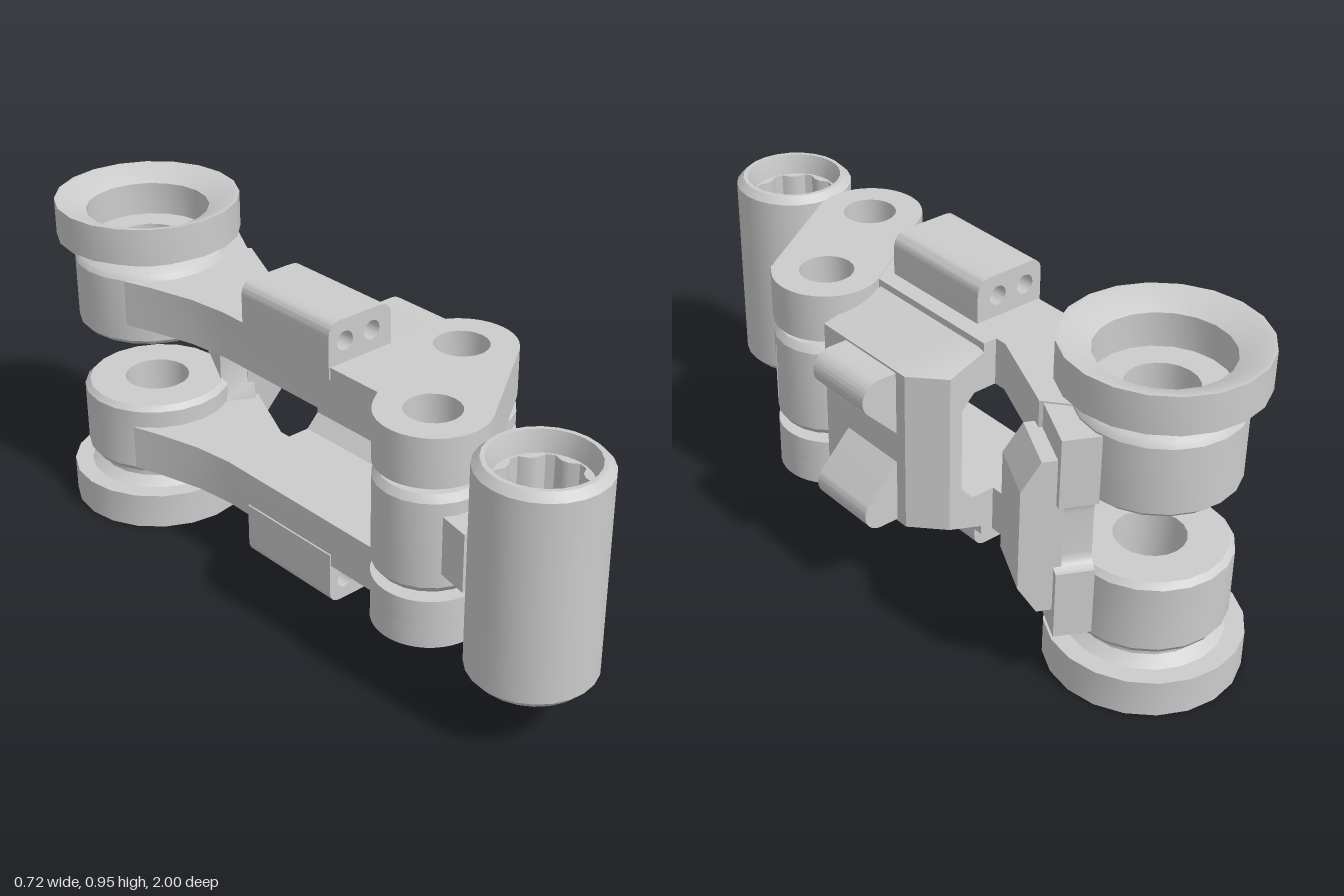
import * as THREE from 'three';
import { toCreasedNormals } from 'three/addons/utils/BufferGeometryUtils.js';

const HEIGHT = 0.95;
const HINGES = [[-0.16, 0.485], [0.14, 0.285]];
const material = new THREE.MeshStandardMaterial({ color: 0xcccccc });

function add(parent, name, geometry, x = 0, z = 0) {
  const mesh = new THREE.Mesh(toCreasedNormals(geometry, 0.5), material);
  mesh.name = name;
  mesh.position.set(x, 0, z);
  parent.add(mesh);
  return mesh;
}

const polygon = (points) => new THREE.Shape(points.map((p) => new THREE.Vector2(...p)));

function circleHole(shape, x, y, r) {
  const hole = new THREE.Path();
  hole.absarc(x, y, r, 0, Math.PI * 2, true);
  shape.holes.push(hole);
}

// Extrudes along z from z0 to z1
function extrude(shape, z0, z1, steps = 1) {
  return new THREE.ExtrudeGeometry(shape, {
    depth: z1 - z0, bevelEnabled: false, curveSegments: 10, steps,
  }).translate(0, 0, z0);
}

// Plan outline in (x, z), filled between heights y0 and y1
const slab = (shape, y0, y1) => extrude(shape, -y1, -y0).rotateX(Math.PI / 2);

// Revolves a profile of [radius, height], counter-clockwise
function turned(profile, closed = true, segments = 20) {
  const pts = closed ? [...profile, profile[0]] : profile;
  return new THREE.LatheGeometry(pts.map((p) => new THREE.Vector2(...p)), segments);
}

// Rounded link outline around the two hinge axes
function linkShape(holeRadius) {
  const shape = new THREE.Shape();
  const [[ax, az], [bx, bz]] = HINGES;
  const a = Math.atan2(bz - az, bx - ax);
  shape.absarc(bx, bz, 0.15, a - Math.PI / 2, a + Math.PI / 2, false);
  shape.absarc(ax, az, 0.15, a + Math.PI / 2, a + Math.PI * 1.5, false);
  shape.closePath();
  for (const [x, z] of HINGES) circleHole(shape, x, z, holeRadius);
  return shape;
}

// Parts that repeat at top and bottom
function createHalf() {
  const half = new THREE.Group();

  // Rear knuckle: barrel, groove and dished flange
  add(half, 'rearKnuckle', turned([
    [0.095, 0.575], [0.2, 0.575], [0.215, 0.59], [0.215, 0.775], [0.205, 0.79],
    [0.178, 0.805], [0.178, 0.822], [0.21, 0.845], [0.262, 0.845], [0.262, 0.95],
    [0.25, 0.95], [0.175, 0.915], [0.175, 0.82], [0.095, 0.82],
  ]), -0.1, -0.74);

  // Beam from the knuckle to the link plate
  add(half, 'beam', slab(polygon([
    [-0.28, -0.62], [-0.25, -0.53], [-0.215, -0.4], [-0.2, -0.28], [-0.2, 0.35],
    [0.06, 0.18], [0.06, -0.275], [0.02, -0.275], [0.02, -0.31], [0.13, -0.56], [0.08, -0.62],
  ]), 0.64, 0.775));

  // Mounting block with two screw holes
  const block = new THREE.Shape();
  block.moveTo(-0.205, 0.74);
  block.lineTo(0.01, 0.74);
  block.lineTo(0.01, 0.85);
  block.quadraticCurveTo(0.01, 0.897, -0.037, 0.897);
  block.lineTo(-0.165, 0.897);
  block.quadraticCurveTo(-0.205, 0.897, -0.205, 0.857);
  block.closePath();
  for (const x of [-0.15, -0.058]) circleHole(block, x, 0.835, 0.027);
  add(half, 'mountingBlock', extrude(block, -0.19, 0.155));

  // Side lug with rounded tip
  const lug = new THREE.Shape();
  lug.moveTo(0.2, 0.52);
  lug.lineTo(0.25, 0.52);
  lug.lineTo(0.342, 0.615);
  lug.absarc(0.305, 0.652, 0.052, -Math.PI / 4, Math.PI / 2, false);
  lug.lineTo(0.2, 0.704);
  lug.closePath();
  add(half, 'sideLug', extrude(lug, -0.155, 0.055));

  // Spacers between the hinge barrels and the link plate
  for (const [x, z] of HINGES) {
    add(half, 'hingeSpacer', turned([[0.075, 0.6], [0.1, 0.6], [0.1, 0.65], [0.075, 0.65]]), x, z);
  }
  return half;
}

export function createModel() {
  const model = new THREE.Group();
  model.name = 'hingedBracket';

  const upper = createHalf();
  upper.name = 'upperHalf';
  const lower = createHalf();
  lower.name = 'lowerHalf';
  lower.scale.y = -1;
  lower.position.y = HEIGHT;
  model.add(upper, lower);

  // Link plates; the lower one is countersunk from below
  add(model, 'upperLinkPlate', slab(linkShape(0.075), 0.64, 0.778));
  add(model, 'lowerLinkPlate', slab(linkShape(0.075), 0.24, 0.314));
  add(model, 'lowerLinkRim', slab(linkShape(0.138), 0.175, 0.24));
  for (const [x, z] of HINGES) {
    add(model, 'countersink', turned([[0.075, 0.24], [0.138, 0.175]], false), x, z);
    // Hinge barrel
    add(model, 'hingeBarrel', turned([
      [0.075, 0.335], [0.135, 0.335], [0.15, 0.355], [0.15, 0.597], [0.135, 0.617], [0.075, 0.617],
    ]), x, z);
  }

  // C-shaped body wall, with its rear outer corner cut back
  const body = extrude(polygon([
    [0, 0.18], [0.25, 0.24], [0.25, 0.71], [0, 0.77],
    [0, 0.64], [0.09, 0.64], [0.13, 0.6], [0.13, 0.35], [0.09, 0.31], [0, 0.31],
  ]), -0.275, 0.15, 5);
  const p = body.attributes.position;
  for (let i = 0; i < p.count; i++) {
    if (p.getZ(i) < -0.26 && p.getX(i) > 0.17) p.setX(i, 0.17);
  }
  add(model, 'bodyWall', body);

  // Swing arm joining the hinge barrels to the front sleeve
  add(model, 'swingArm', slab(polygon([
    [0, 0.74], [0.03, 0.73], [0.12, 0.53], [0.275, 0.35], [0.2, 0.385], [0.06, 0.38], [-0.06, 0.45],
    [-0.06, 0.55], [-0.12, 0.585], [-0.24, 0.6], [-0.26, 0.7], [-0.135, 0.67],
  ]), 0.395, 0.56));

  // Front sleeve with splined bore
  const sleeve = new THREE.Group();
  sleeve.name = 'frontSleeve';
  sleeve.position.set(-0.135, 0, 0.825);
  model.add(sleeve);
  add(sleeve, 'sleeveShell', turned([
    [0.122, 0.235], [0.138, 0.175], [0.15, 0.175], [0.17, 0.197],
    [0.17, 0.757], [0.15, 0.777], [0.138, 0.777], [0.122, 0.715],
  ], true, 24));
  const spline = new THREE.Shape();
  spline.absarc(0, 0, 0.128, 0, Math.PI * 2, false);
  const bore = [];
  for (let i = 0; i < 32; i++) {
    const a = (i + 0.5) * Math.PI / 16;
    const r = i % 4 < 2 ? 0.117 : 0.1;
    bore.push(new THREE.Vector2(r * Math.cos(a), r * Math.sin(a)));
  }
  spline.holes.push(new THREE.Path(bore.reverse()));
  add(sleeve, 'boreSpline', slab(spline, 0.23, 0.72));

  // Angled stop plate bridging the rear knuckles
  const stop = new THREE.Group();
  stop.name = 'rearStop';
  stop.position.set(0.185, 0, -0.6);
  stop.rotation.y = -0.477;
  model.add(stop);
  add(stop, 'stopPad', extrude(polygon([
    [-0.06, 0.25], [0, 0.25], [0.05, 0.33], [0.05, 0.62], [0, 0.7], [-0.06, 0.7],
  ]), -0.088, 0.088));
  const web = new THREE.Shape();
  web.moveTo(-0.11, 0.18);
  web.lineTo(0.11, 0.18);
  web.lineTo(0.11, 0.31);
  web.lineTo(0.085, 0.36);
  web.lineTo(0.085, 0.59);
  web.lineTo(0.11, 0.64);
  web.lineTo(0.11, 0.77);
  web.lineTo(-0.11, 0.77);
  web.lineTo(-0.11, 0.575);
  web.quadraticCurveTo(-0.075, 0.575, -0.075, 0.53);
  web.lineTo(-0.075, 0.42);
  web.quadraticCurveTo(-0.075, 0.375, -0.11, 0.375);
  add(stop, 'stopWeb', extrude(web, 0.04, 0.14).rotateY(-Math.PI / 2));

  return model;
}
